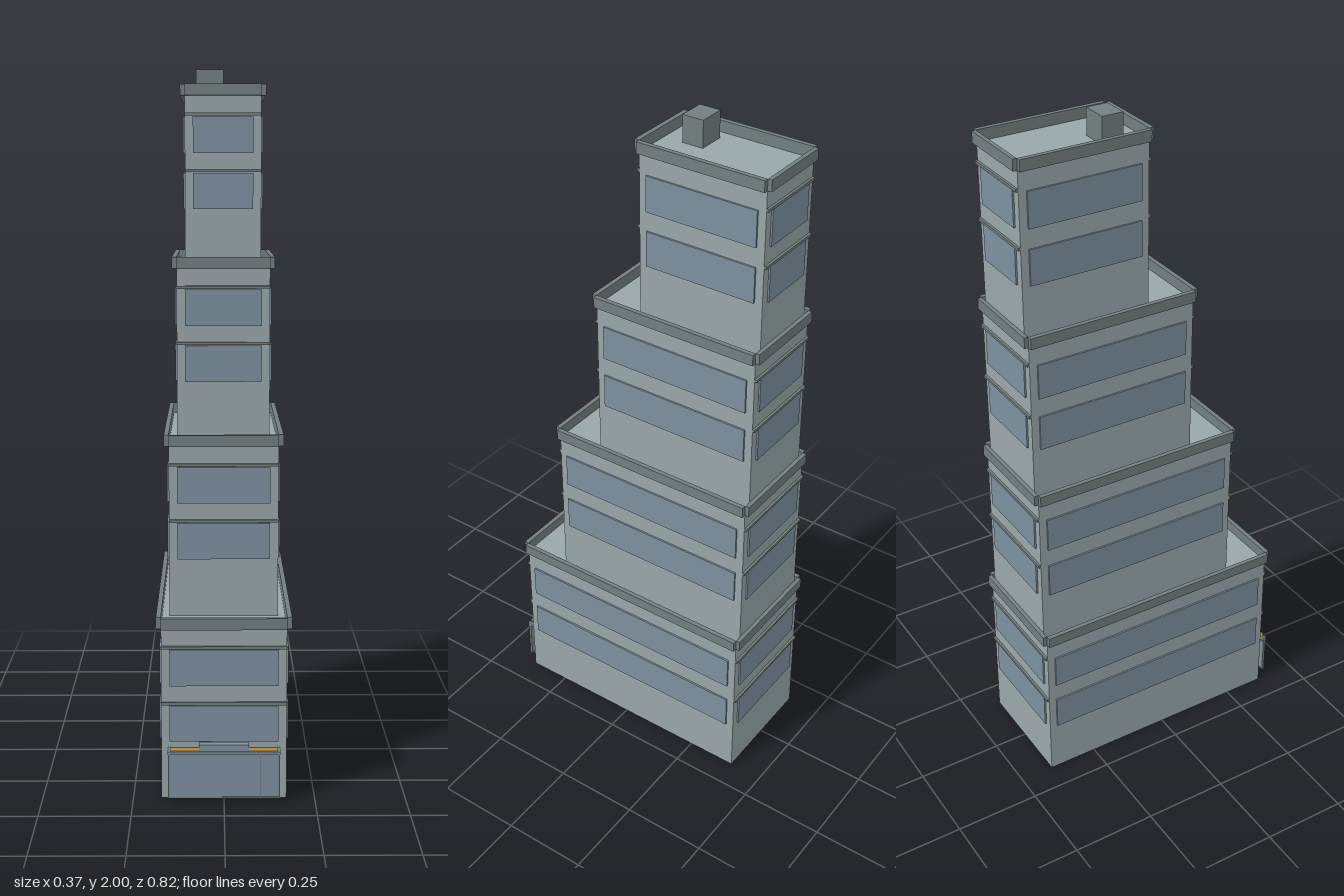
import * as THREE from 'three';

const mat = (color) => new THREE.MeshStandardMaterial({ color });

export function createModel() {
  const model = new THREE.Group();
  model.name = 'steppedTower';
  const wall = mat(0x9aa7aa), trim = mat(0x737f7f), glass = mat(0x7d91a0), amber = mat(0xd9a54a);

  // Box given by its min and max corners
  const box = (parent, name, material, [x0, y0, z0], [x1, y1, z1]) => {
    const mesh = new THREE.Mesh(new THREE.BoxGeometry(x1 - x0, y1 - y0, z1 - z0), material);
    mesh.position.set((x0 + x1) / 2, (y0 + y1) / 2, (z0 + z1) / 2);
    mesh.name = name;
    parent.add(mesh);
  };

  const H = 0.481, BACK = -0.399, LIP = 0.0135, MARGIN = 0.023, OUT = 0.005;
  // Half width and front z of each setback, bottom to top
  const tiers = [[0.172, 0.373], [0.152, 0.241], [0.131, 0.11], [0.109, -0.02]];

  tiers.forEach(([w, front], i) => {
    const tier = new THREE.Group();
    tier.name = `tier${i + 1}`;
    tier.position.y = i * H;
    model.add(tier);
    box(tier, 'walls', wall, [-w, 0, BACK], [w, H, front]);

    // Parapet strips around the roof edge
    const p0 = H, p1 = H + 0.032;
    box(tier, 'parapetFront', trim, [-w, p0, front], [w, p1, front + LIP]);
    box(tier, 'parapetBack', trim, [-w, p0, BACK - 0.012], [w, p1, BACK]);
    box(tier, 'parapetLeft', trim, [w, p0, BACK], [w + LIP, p1, front]);
    box(tier, 'parapetRight', trim, [-w - LIP, p0, BACK], [-w, p1, front]);

    // Two floors of window bands, with ledges on front and back
    for (const y of [0.163, 0.321]) {
      const t = y + 0.102, m = w - MARGIN;
      box(tier, 'windowFront', glass, [-m, y, front], [m, t, front + OUT]);
      box(tier, 'windowBack', glass, [-m, y, BACK - OUT], [m, t, BACK]);
      box(tier, 'windowLeft', glass, [w, y, BACK + MARGIN], [w + OUT, t, front - MARGIN]);
      box(tier, 'windowRight', glass, [-w - OUT, y, BACK + MARGIN], [-w, t, front - MARGIN]);
      box(tier, 'ledgeFront', trim, [-w, t + 0.002, front], [w, t + 0.01, front + 0.007]);
      box(tier, 'ledgeBack', trim, [-w, t + 0.002, BACK - 0.007], [w, t + 0.01, BACK]);
    }
  });

  // Rooftop plant box
  box(model, 'roofUnit', trim, [-0.077, 4 * H, -0.14], [0.001, 2, -0.077]);

  // Shopfront: free-standing glass screen with frame, canopy, light strip and sign box
  const shop = new THREE.Group();
  shop.name = 'shopfront';
  model.add(shop);
  box(shop, 'shopGlass', glass, [-0.15, 0.014, 0.402], [0.15, 0.137, 0.407]);
  for (const x of [-0.153, 0.149]) box(shop, 'frameSide', trim, [x, 0.012, 0.401], [x + 0.004, 0.137, 0.409]);
  box(shop, 'frameBottom', trim, [-0.149, 0.012, 0.401], [0.149, 0.016, 0.409]);
  box(shop, 'doorMullion', trim, [0.098, 0.016, 0.402], [0.101, 0.137, 0.408]);
  box(shop, 'canopy', glass, [-0.154, 0.137, 0.373], [0.154, 0.146, 0.411]);
  box(shop, 'lightStrip', amber, [-0.147, 0.146, 0.4], [0.147, 0.156, 0.405]);
  box(shop, 'signBox', glass, [-0.068, 0.146, 0.386], [0.068, 0.165, 0.408]);

  return model;
}
